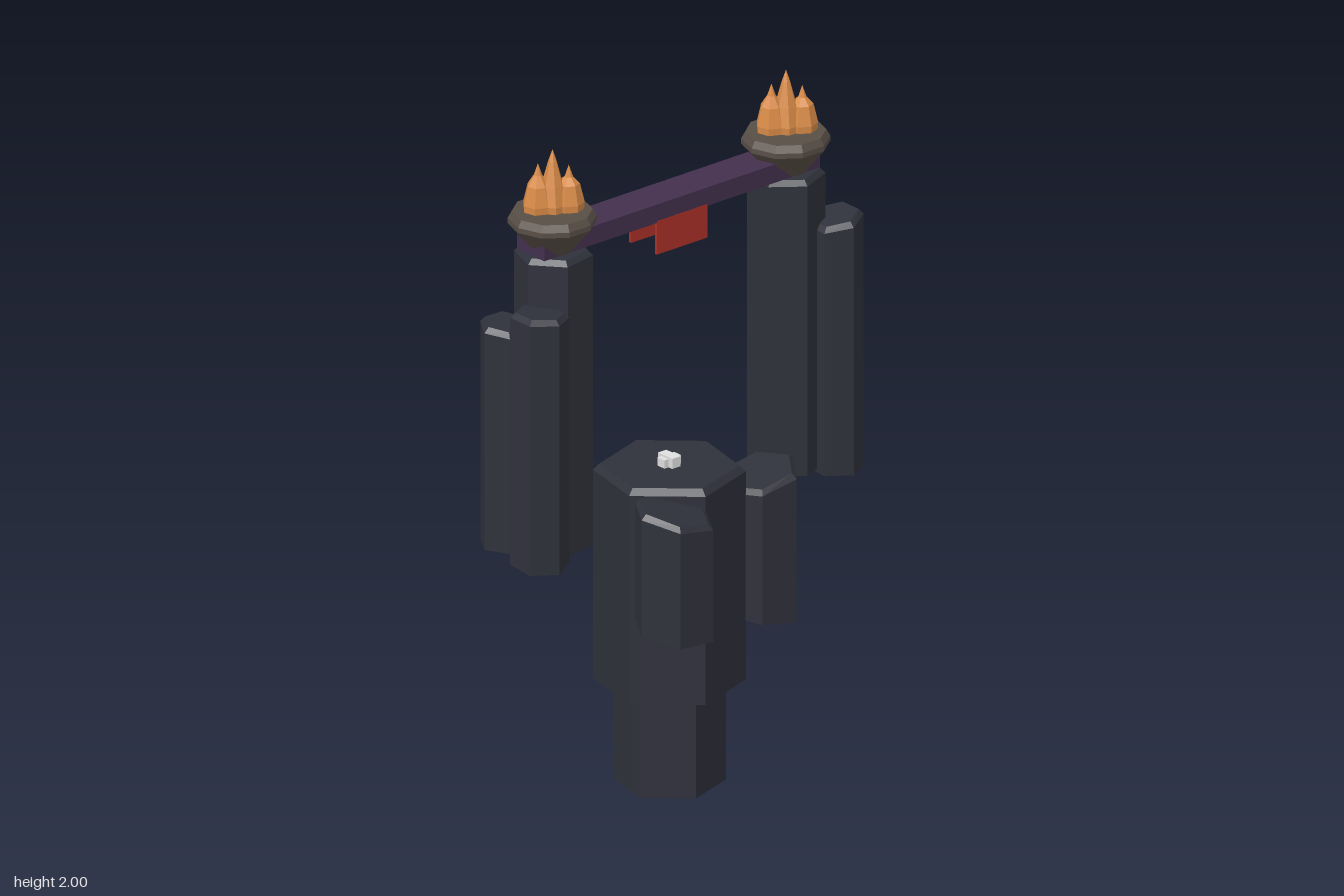
import * as THREE from 'three';

const mat = (name, color) => {
  const m = new THREE.MeshStandardMaterial({ color });
  m.name = name;
  return m;
};
const rad = THREE.MathUtils.degToRad;

// Unshared vertices give every face its own flat normal.
function facet(geo) {
  const g = geo.index ? geo.toNonIndexed() : geo;
  g.computeVertexNormals();
  return g;
}

export function createModel() {
  const group = new THREE.Group();
  const stone = mat('dark stone', 0x2f313b);
  const glow = mat('ember orange', 0xd98b47);
  const purple = mat('purple beam', 0x422f4d);
  const red = mat('red cloth', 0xa83026);
  const bronze = mat('bowl bronze', 0x584e46);
  const white = mat('pale marker', 0xdedede);

  function add(name, geo, material, x = 0, y = 0, z = 0, parent = group) {
    const mesh = new THREE.Mesh(facet(geo), material);
    mesh.name = name;
    mesh.position.set(x, y, z);
    parent.add(mesh);
    return mesh;
  }

  // Hexagonal stone pillar with a bevelled top; the two ends may slope in x and z.
  function prism(name, { x, z, r, y0, y1, phase, bevel = 0.015, top = [0, 0], bottom = [0, 0], under = stone }) {
    const g = new THREE.CylinderGeometry(r, r, 1, 6, 2, false, rad(90 - phase));
    const p = g.attributes.position;
    for (let i = 0; i < p.count; i++) {
      const px = p.getX(i), pz = p.getZ(i), level = p.getY(i);
      const slope = level < -0.1 ? bottom : top;
      const inset = level > 0.1 ? (r - bevel) / r : 1;
      const y = level < -0.1 ? y0 : level > 0.1 ? y1 : y1 - bevel;
      p.setXYZ(i, px * inset, y + slope[0] * px + slope[1] * pz, pz * inset);
    }
    add(name, g, [stone, stone, under], x, 0, z);
  }

  const Z = -0.05;

  // Central column
  prism('base', { x: 0, z: Z, r: 0.155, y0: 0, y1: 0.3, phase: -17.5, bevel: 0 });
  prism('column', { x: 0, z: Z, r: 0.21, y0: 0.3, y1: 0.94, phase: -17.5, bevel: 0.018, under: glow });
  prism('rightSidePillar', { x: -0.152, z: 0.147, r: 0.115, y0: 0.552, y1: 0.905, phase: 2,
    top: [-0.17, -0.14], bottom: [-0.06, -0.14], under: glow });
  prism('leftSidePillar', { x: 0.242, z: 0.047, r: 0.114, y0: 0.462, y1: 0.885, phase: 6,
    top: [0.21, 0], bottom: [-0.17, -0.02], under: glow });

  // Small cross-shaped marker on the column
  add('markerLong', new THREE.BoxGeometry(0.06, 0.025, 0.03), white, 0, 0.952, Z);
  add('markerCross', new THREE.BoxGeometry(0.03, 0.03, 0.06), white, 0, 0.955, Z);

  // Towers with their clustered pillars
  prism('rightTower', { x: -0.42, z: Z, r: 0.11, y0: 0.825, y1: 1.705, phase: -10 });
  prism('leftTower', { x: 0.424, z: Z, r: 0.108, y0: 0.825, y1: 1.705, phase: -22 });
  prism('rightFrontPillar', { x: -0.534, z: 0.025, r: 0.083, y0: 0.818, y1: 1.568, phase: 30,
    top: [-0.08, 0], bottom: [0, -0.08] });
  prism('leftFrontPillar', { x: 0.534, z: 0.025, r: 0.082, y0: 0.815, y1: 1.562, phase: 30,
    top: [0.15, 0], bottom: [0, -0.08] });
  prism('rightBackPillar', { x: -0.513, z: -0.143, r: 0.075, y0: 0.818, y1: 1.48, phase: 2, top: [0, -0.1] });
  prism('leftBackPillar', { x: 0.509, z: -0.143, r: 0.074, y0: 0.815, y1: 1.478, phase: 28, top: [0, -0.1] });

  // Lintel and its two hanging banners
  add('beam', new THREE.BoxGeometry(1, 0.055, 0.114), purple, 0, 1.732, -0.053);
  for (const [name, z] of [['frontBanner', 0], ['backBanner', -0.108]])
    add(name, new THREE.BoxGeometry(0.184, 0.1, 0.009), red, 0, 1.66, z);

  // Fire bowls: ten-sided dish with a flat top, and three flames in a diagonal row
  const bowlProfile = [[0, 1.705], [0.06, 1.705], [0.078, 1.73], [0.123, 1.785], [0.123, 1.8], [0.112, 1.82], [0, 1.82]]
    .map(([r, y]) => new THREE.Vector2(r, y));
  const flames = [[-0.03, -0.025, 1.96], [0.003, -0.002, 2.0], [0.043, 0.02, 1.95]];
  for (const [side, x] of [['right', -0.425], ['left', 0.422]]) {
    const brazier = new THREE.Group();
    brazier.name = side + 'Brazier';
    brazier.position.set(x, 0, Z);
    group.add(brazier);
    add('bowl', new THREE.LatheGeometry(bowlProfile, 10, Math.PI / 2), bronze, 0, 0, 0, brazier);
    flames.forEach(([fx, fz, tip], i) => {
      const profile = [[0.042, 1.815], [0.044, 1.84], [0.031, 1.895], [0.012, tip - 0.035], [0, tip]]
        .map(([r, y]) => new THREE.Vector2(r, y));
      add('flame' + (i + 1), new THREE.LatheGeometry(profile, 7, i * 0.4), glow, fx, 0, fz, brazier);
    });
  }
  return group;
}
